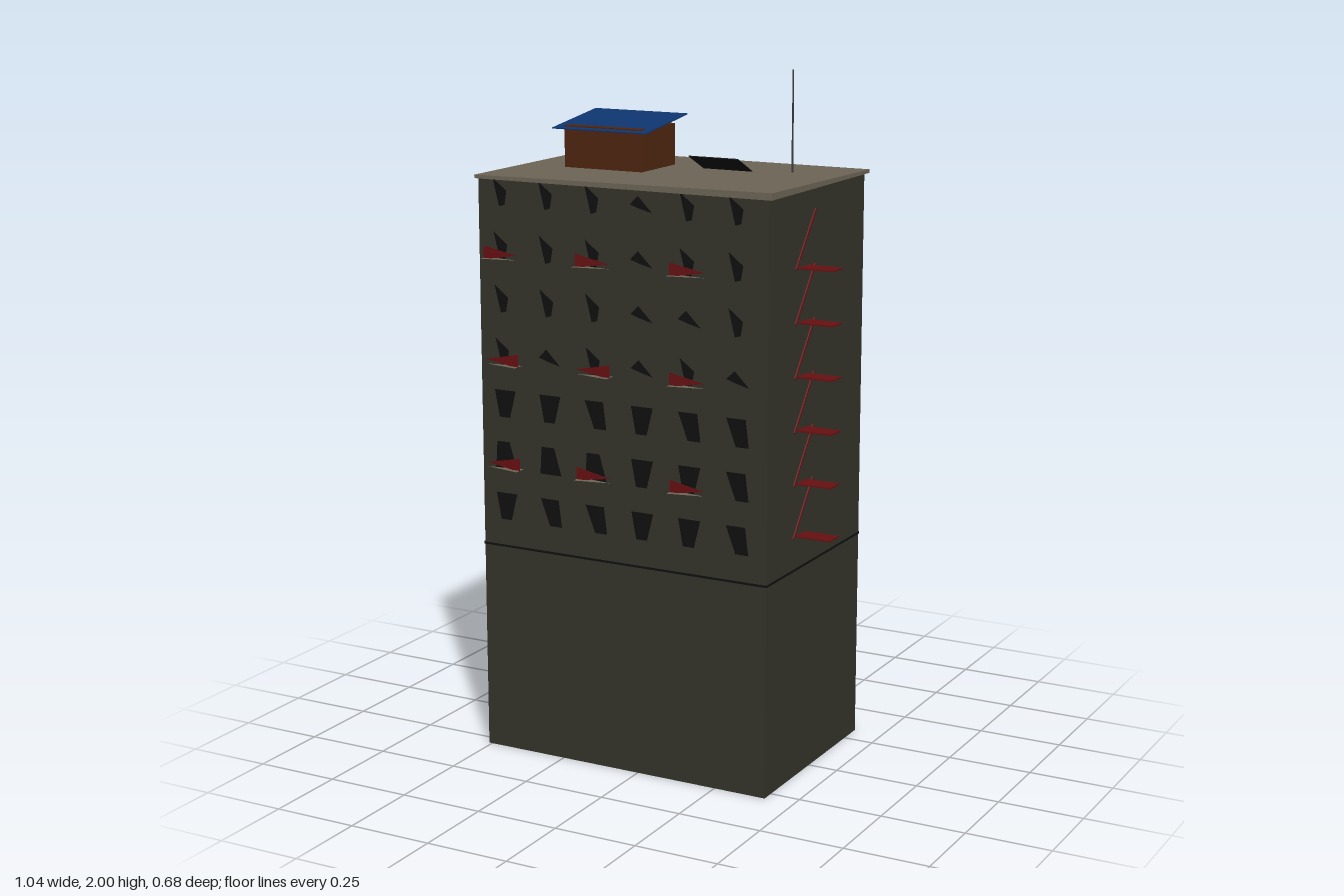
import * as THREE from 'three';

const mat = (name, color, side = THREE.DoubleSide) => {
  const m = new THREE.MeshStandardMaterial({ color, side });
  m.name = name;
  return m;
};

// Flat polygon outlines for the irregular window panes (offsets from the window centre)
const PANES = {
  A: [[-0.035, 0.04], [0.025, 0.04], [0.035, -0.04], [-0.005, -0.04]],
  B: [[-0.035, 0.04], [0.035, 0.04], [0.015, -0.04], [-0.02, -0.04]],
  C: [[-0.03, 0.04], [0.012, 0.04], [0.035, -0.04], [-0.035, -0.04]],
  T: [[-0.03, 0.04], [0.015, 0.005], [0.008, -0.035], [-0.01, -0.04]],
  F: [[-0.035, -0.005], [-0.01, 0.02], [0.035, -0.025], [-0.005, -0.015]],
};
// One row per storey, bottom to top
const FRONT = ['BAABBA', 'CCCBBA', 'BBABAA', 'TFTFTF', 'TTTFFT', 'TTTFTT', 'TTTFTT'];
const BACK = ['AACCCA', 'CACBAB', 'BABCAB', 'FTFFFT', 'TFFFTT', 'TFTFTT', 'TTFTTT'];
const LIT = ['5,1', '5,3', '4,5', '4,6', '2,1'];

export function createModel() {
  const M = {
    wall: mat('wall olive', 0x33342a, THREE.FrontSide),
    roof: mat('concrete', 0x6c6455),
    dark: mat('dark glass', 0x0f0f0f),
    lit: mat('lit glass', 0xb8834a),
    red: mat('red metal', 0x661012),
    brown: mat('brown brick', 0x4f250f),
    blue: mat('blue sheet', 0x0e3570),
    green: mat('green trim', 0x1f3b10),
    steel: mat('antenna grey', 0x3c3c3c),
  };
  const model = new THREE.Group();
  model.name = 'apartmentBlock';

  const add = (name, geo, material, x = 0, y = 0, z = 0, parent = model) => {
    const mesh = new THREE.Mesh(geo, material);
    mesh.name = name;
    mesh.position.set(x, y, z);
    parent.add(mesh);
    return mesh;
  };
  const box = (name, material, [x0, x1], [y0, y1], [z0, z1], parent) =>
    add(name, new THREE.BoxGeometry(x1 - x0, y1 - y0, z1 - z0), material,
      (x0 + x1) / 2, (y0 + y1) / 2, (z0 + z1) / 2, parent);
  const poly = pts => new THREE.ShapeGeometry(new THREE.Shape(pts.map(p => new THREE.Vector2(...p))));
  const group = name => {
    const g = new THREE.Group();
    g.name = name;
    model.add(g);
    return g;
  };

  // Main volumes
  box('lowerBlock', M.wall, [-0.51, 0.41], [0, 0.625], [-0.325, 0.29]);
  box('upperBlock', M.wall, [-0.51, 0.41], [0.625, 1.698], [-0.325, 0.29]);
  box('ledge', M.dark, [-0.512, 0.412], [0.621, 0.627], [-0.327, 0.292]);

  // Roof slab, a little thicker at the front left corner
  const slab = box('roofSlab', M.roof, [-0.52, 0.42], [1.698, 1.708], [-0.34, 0.295]);
  const p = slab.geometry.attributes.position;
  for (let i = 0; i < p.count; i++)
    if (p.getX(i) > 0 && p.getZ(i) > 0 && p.getY(i) > 0) p.setY(i, p.getY(i) + 0.01);
  slab.geometry.computeVertexNormals();

  // Green band tapering away from the rear right corner
  add('greenBandBack', poly([[-0.515, 0.595], [0.41, 0.621], [0.41, 0.628], [-0.515, 0.65]]),
    M.green, 0, 0, -0.33);
  add('greenBandSide', poly([[-0.33, 0.595], [0.29, 0.621], [0.29, 0.628], [-0.33, 0.65]]),
    M.green, -0.514).rotation.y = -Math.PI / 2;

  // Windows on the front and back
  const windows = group('windows');
  for (const [side, rows, z] of [['front', FRONT, 0.293], ['back', BACK, -0.328]])
    rows.forEach((row, r) => [...row].forEach((key, c) => {
      const lit = side === 'back' && LIT.includes(`${c},${r}`);
      add(`${side}Window`, poly(PANES[key]), lit ? M.lit : M.dark,
        -0.43 + c * 0.15, 0.745 + r * 0.153, z, windows);
    }));

  // Small front balconies: red panel over a concrete floor, pointing either way
  const balconies = group('balconies');
  [[0.88, [-1, 1, 1]], [1.185, [-1, -1, 1]], [1.492, [1, 1, 1]]].forEach(([y, dirs]) =>
    dirs.forEach((d, i) => {
      const x = -0.425 + i * 0.3;
      add('balconyPanel', poly([[-0.055 * d, 0.02], [-0.055 * d, -0.02], [0.055 * d, -0.002]]),
        M.red, x, y, 0.316, balconies);
      const floor = add('balconyFloor',
        poly([[-0.055 * d, 0.02], [-0.055 * d, -0.02], [0.055 * d, 0.002]]),
        M.roof, x, y - 0.016, 0.315, balconies);
      floor.rotation.x = -Math.PI / 2;
    }));

  // Fire escape on the left wall
  const escape = group('fireEscape');
  for (let i = 0; i < 6; i++) {
    const y = 0.722 + i * 0.153;
    box('landing', M.red, [0.412, 0.518], [y - 0.002, y + 0.002], [0.05, 0.11], escape);
    const stair = add('stair', new THREE.BoxGeometry(0.004, 0.195, 0.007), M.red,
      0.421, y + 0.078, 0.083, escape);
    stair.rotation.x = -0.67;
  }

  // Rooftop hut with a sloping sheet roof
  box('hut', M.brown, [-0.38, -0.125], [1.7, 1.829], [-0.17, 0.03]);
  const sheet = add('hutRoof', new THREE.BoxGeometry(0.31, 0.003, 0.252), M.blue, -0.255, 1.8375, -0.075);
  sheet.rotation.x = Math.atan2(0.033, 0.25);

  // Tilted rooftop panel and antenna
  const panel = add('solarPanel', new THREE.BoxGeometry(0.153, 0.002, 0.1), M.dark, 0.154, 1.756, 0.08);
  panel.rotation.x = -Math.atan2(0.043, 0.088);
  add('antenna', new THREE.CylinderGeometry(0.002, 0.003, 0.295, 6), M.steel, 0.255, 1.8525, -0.17);

  return model;
}
